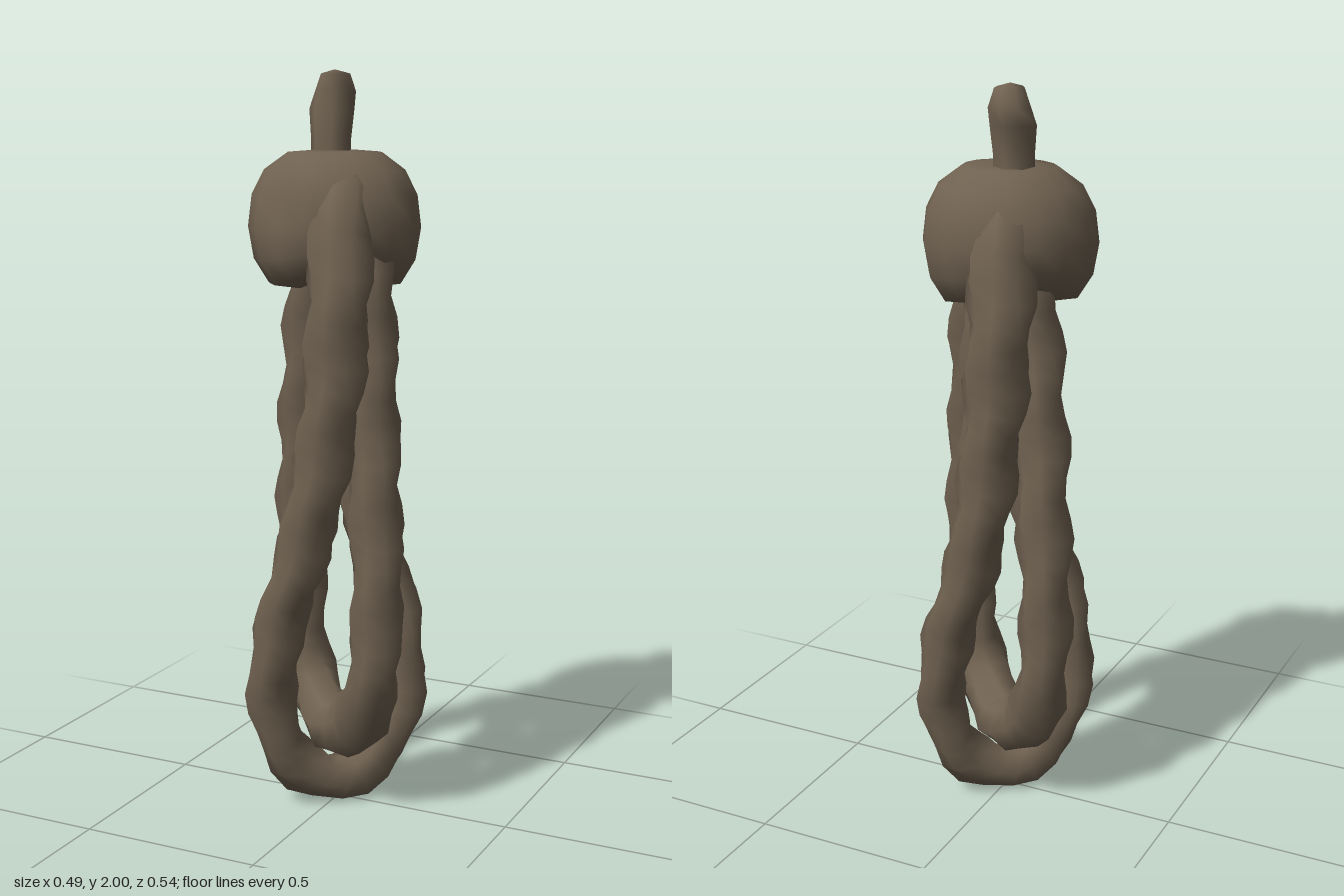
import * as THREE from 'three';

const rope = new THREE.MeshStandardMaterial({ color: 0x706251 });
rope.name = 'brown rope';

// Skin a list of closed rings (each an array of Vector3) with smooth normals
function loft(rings, name) {
  const n = rings[0].length, pos = [], idx = [];
  rings.forEach(r => r.forEach(p => pos.push(p.x, p.y, p.z)));
  for (let i = 0; i < rings.length - 1; i++) {
    for (let j = 0; j < n; j++) {
      const a = i * n + j, b = i * n + (j + 1) % n;
      idx.push(a, b, a + n, b, b + n, a + n);
    }
  }
  const g = new THREE.BufferGeometry();
  g.setAttribute('position', new THREE.Float32BufferAttribute(pos, 3));
  g.setIndex(idx);
  g.computeVertexNormals();
  const m = new THREE.Mesh(g, rope);
  m.name = name;
  return m;
}

// Twisted two-lobed rope through points [x, y, z, radius]
function ropeStrand(pts, name) {
  const curve = new THREE.CatmullRomCurve3(pts.map(([x, y, z]) => new THREE.Vector3(x, y, z)));
  const length = curve.getLength(), steps = Math.round(length / 0.055), sides = 8;
  const { normals, binormals } = curve.computeFrenetFrames(steps, false);
  const rings = [];
  for (let i = 0; i <= steps; i++) {
    const t = curve.getUtoTmapping(i / steps);
    const c = curve.getPoint(t);
    const k = Math.min(Math.floor(t * (pts.length - 1)), pts.length - 2);
    const radius = THREE.MathUtils.lerp(pts[k][3], pts[k + 1][3], t * (pts.length - 1) - k);
    const twist = (i / steps) * length * Math.PI * 2 / 0.5;
    const ring = [];
    for (let j = 0; j < sides; j++) {
      const a = j / sides * Math.PI * 2;
      const r = radius * (1 + 0.16 * Math.cos(2 * (a - twist)));
      ring.push(c.clone()
        .addScaledVector(normals[i], r * Math.cos(a))
        .addScaledVector(binormals[i], r * Math.sin(a)));
    }
    rings.push(ring);
  }
  return loft(rings, name);
}

// Lumpy knot: two opposite bulges sag lower, with a dimple on the front
function knot() {
  const profile = [[0.005, 1.48], [0.1, 1.45], [0.17, 1.46], [0.208, 1.52], [0.222, 1.6],
    [0.212, 1.68], [0.18, 1.745], [0.12, 1.79], [0.06, 1.795], [0.003, 1.79]];
  const sides = 16;
  const rings = profile.map(([r, y]) => {
    const ring = [];
    for (let j = 0; j < sides; j++) {
      const a = j / sides * Math.PI * 2;
      const lump = Math.cos(2 * (a + 0.96));
      const low = THREE.MathUtils.clamp((1.66 - y) / 0.2, 0, 1);
      const da = Math.atan2(Math.sin(a + 0.4), Math.cos(a + 0.4));
      const dimple = 0.045 * Math.exp(-(da * da) / 0.06 - ((y - 1.65) ** 2) / 0.003);
      const q = Math.max(0.002, r * (1 + 0.05 * lump + 0.02 * Math.cos(5 * a)) - dimple);
      ring.push(new THREE.Vector3(q * Math.sin(a) - 0.007, y + low * 0.03 * (0.5 - lump), 0.9 * q * Math.cos(a)));
    }
    return ring;
  });
  return loft(rings, 'knot');
}

// Short bent stub above the knot: [x, y, z, x radius, z radius]
function stub() {
  const rows = [[-0.03, 1.74, -0.02, 0.055, 0.055], [-0.03, 1.82, -0.02, 0.054, 0.052],
    [-0.032, 1.9, -0.03, 0.062, 0.055], [-0.03, 1.945, -0.045, 0.054, 0.06],
    [-0.02, 1.99, -0.025, 0.038, 0.044], [-0.02, 2.0, -0.02, 0.002, 0.002]];
  return loft(rows.map(([x, y, z, rx, rz]) => Array.from({ length: 7 }, (_, j) => {
    const a = (j + 0.5) / 7 * Math.PI * 2;
    return new THREE.Vector3(x + rx * Math.sin(a), y, z + rz * Math.cos(a));
  })), 'topStub');
}

export function createModel() {
  const group = new THREE.Group();
  group.name = 'ropeBundle';

  // Long loop: front strand, low bend, then the same path turned 180 degrees at the back
  const longHalf = [[0.05, 1.72, 0.06, 0.07], [0.075, 1.61, 0.13, 0.083], [0.085, 1.43, 0.172, 0.083],
    [0.07, 1.15, 0.182, 0.079], [0, 0.8, 0.188, 0.071], [-0.095, 0.5, 0.178, 0.068],
    [-0.125, 0.26, 0.142, 0.066], [-0.075, 0.105, 0.08, 0.066]];
  const longBack = longHalf.map(([x, y, z, r]) => [y > 1 ? 0.02 - x : -x, y, -z, r]).reverse();
  group.add(ropeStrand([...longHalf, [0, 0.06, 0, 0.066], ...longBack], 'longRopeLoop'));

  // Short loop: right-front strand, bend resting above the long loop, left-back strand
  group.add(ropeStrand([[0.08, 1.64, 0.03, 0.07], [0.107, 1.43, 0.055, 0.078], [0.135, 1.15, 0.085, 0.073],
    [0.164, 0.8, 0.108, 0.069], [0.168, 0.52, 0.118, 0.067], [0.125, 0.31, 0.09, 0.074],
    [0, 0.215, 0, 0.085],
    [-0.125, 0.3, -0.085, 0.072], [-0.168, 0.52, -0.11, 0.067], [-0.16, 0.8, -0.1, 0.069],
    [-0.125, 1.15, -0.065, 0.073], [-0.085, 1.43, -0.035, 0.075], [-0.06, 1.64, -0.02, 0.07]], 'shortRopeLoop'));

  // Inner strand running from the knot down into the back strand
  group.add(ropeStrand([[0.02, 1.6, -0.04, 0.06], [0.035, 1.4, -0.055, 0.062], [0.035, 1.15, -0.065, 0.06],
    [0.035, 0.9, -0.1, 0.056], [0.045, 0.68, -0.17, 0.05]], 'innerStrand'));

  group.add(knot(), stub());
  return group;
}
